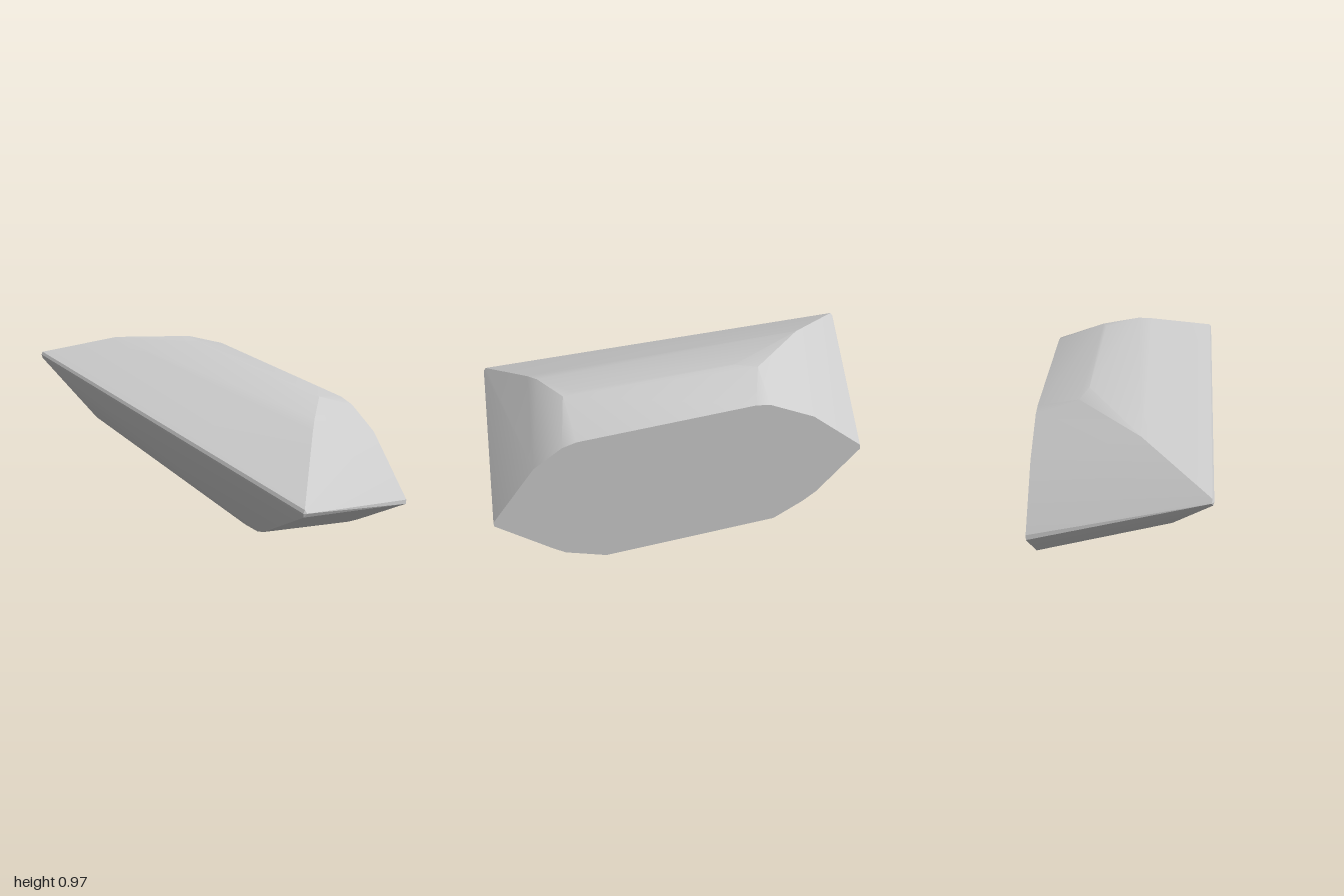
import * as THREE from 'three';
import { ConvexGeometry } from 'three/addons/geometries/ConvexGeometry.js';
import { toCreasedNormals } from 'three/addons/utils/BufferGeometryUtils.js';

const BACK = -0.46;

// Flat back cut: outline as x, y
const backOutline = [
  [0.975, 0.335], [0.975, 0.31], [0.745, 0.65], [0.6, 0.76], [0.53, 0.785],
  [-0.33, 0.89], [-0.4, 0.885], [-0.63, 0.785], [-0.9, 0.57], [-0.905, 0.545],
  [-0.7, 0.28], [-0.63, 0.22], [-0.48, 0.12], [0.43, 0], [0.64, 0.06], [0.7, 0.1],
].map(([x, y]) => [x, y, BACK]);

// Upper facets: front edge of the crown, then its back edge
const crown = [
  [-0.68, 0.967, 0.05], [0.74, 0.825, 0.08], [0.69, 0.853, 0],
  [-0.39, 0.967, -0.25], [-0.28, 0.967, -0.21], [0.52, 0.88, -0.18], [0.57, 0.872, -0.2],
];

// Lower facets, stepping down and back from the ridge
const keel = [
  [-0.72, 0.5, 0.2], [0.64, 0.335, 0.29], [0.59, 0.31, 0.275],
  [-0.45, 0.335, 0.07], [0.43, 0.24, 0.18],
  [-0.47, 0.295, -0.04], [0.43, 0.19, 0.07],
];

// Narrow softened ridge around the two front corners
const ridge = [];
for (const [x, y, z] of [[-1, 0.865, 0.36], [0.995, 0.65, 0.458]]) {
  const s = Math.sign(x);
  ridge.push([x, y, z - 0.012], [x - s * 0.012, y, z],
    [x - s * 0.012, y + 0.015, z - 0.008], [x - s * 0.012, y - 0.02, z - 0.004]);
}

export function createModel() {
  const group = new THREE.Group();
  group.name = 'facetedStone';
  const points = [...backOutline, ...crown, ...keel, ...ridge]
    .map((p) => new THREE.Vector3(...p));
  const stone = new THREE.Mesh(
    toCreasedNormals(new ConvexGeometry(points), 0.35),
    new THREE.MeshStandardMaterial({ color: 0xcccccc }),
  );
  stone.name = 'stone';
  group.add(stone);
  return group;
}
